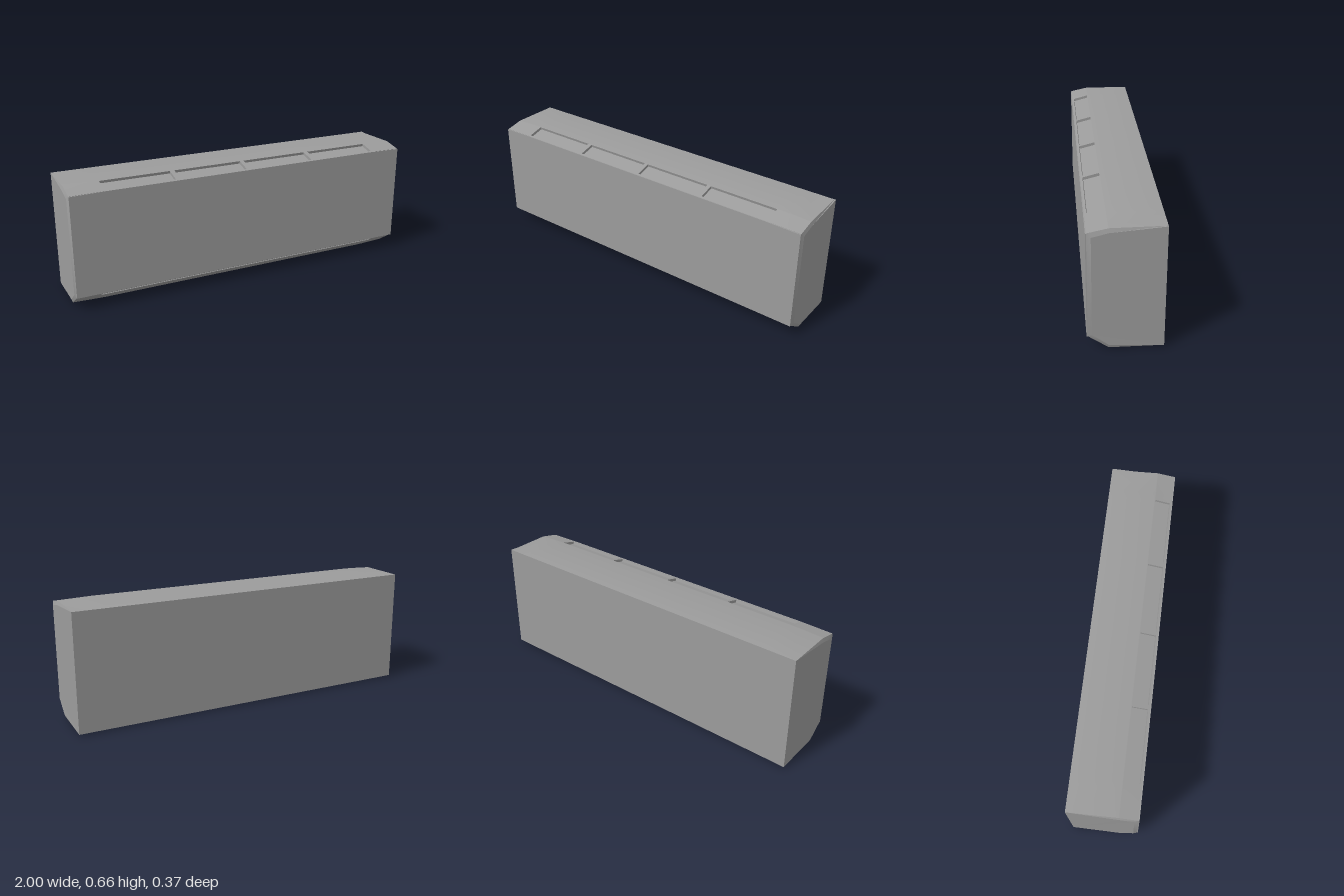
import * as THREE from 'three';
import { toCreasedNormals } from 'three/addons/utils/BufferGeometryUtils.js';

const material = () => new THREE.MeshStandardMaterial({ color: 0x9c9c9c });

// Point between a and b at t, pushed inward by depth along the normal n.
const along = (a, b, t, n, depth) => [
  a[0] + (b[0] - a[0]) * t - n[0] * depth,
  a[1] + (b[1] - a[1]) * t - n[1] * depth,
];

// Side profile as [z, y]; vent and outlet are recess depths, drop lowers the peaks.
function section(vent, outlet, drop) {
  const peak = [0.08, 0.66 - drop], frontTop = [0.18, 0.634 - drop * 0.35];
  const frontLow = [0.18, 0.079], belly = [0.08, 0.001 + drop];
  const nTop = [0.25, 0.97], nLow = [0.61, -0.79];
  return [
    [-0.185, 0.008], [-0.185, 0.652], peak,
    along(peak, frontTop, 0.05, nTop, 0), along(peak, frontTop, 0.05, nTop, vent),
    along(peak, frontTop, 0.9, nTop, vent), along(peak, frontTop, 0.9, nTop, 0),
    frontTop, frontLow,
    along(frontLow, belly, 0.05, nLow, 0), along(frontLow, belly, 0.05, nLow, outlet),
    along(frontLow, belly, 0.37, nLow, outlet), along(frontLow, belly, 0.37, nLow, 0),
    belly,
  ];
}

// End face: the profile with its front corners chamfered in.
function endSection() {
  const a = [0.08, 0.632], b = [0.16, 0.612], c = [0.16, 0.091], d = [0.08, 0.027];
  return [[-0.185, 0.008], [-0.185, 0.652], a, a, a, b, b, b, c, c, c, d, d, d];
}

// Corner i of a station; the ends narrow slightly towards the back.
function corner(station, i) {
  const [z, y] = station.pts[i % station.pts.length];
  return [station.x * (z < 0 ? 0.995 : 1), y, z];
}

function geometryFrom(pos) {
  const g = new THREE.BufferGeometry();
  g.setAttribute('position', new THREE.Float32BufferAttribute(pos, 3));
  g.computeVertexNormals();
  return g;
}

// Joins sections along x, smooth over the gentle bends and sharp at the recesses.
function loft(stations) {
  const pos = [];
  for (let k = 0; k < stations.length - 1; k++) {
    const a = stations[k], b = stations[k + 1];
    for (let i = 0; i < a.pts.length; i++) {
      const a0 = corner(a, i), a1 = corner(a, i + 1);
      const b0 = corner(b, i), b1 = corner(b, i + 1);
      pos.push(...a0, ...a1, ...b1, ...a0, ...b1, ...b0);
    }
  }
  return toCreasedNormals(geometryFrom(pos), 0.72);
}

// Flat face closing one end, facing outwards along x.
function endFace(station) {
  const pos = [];
  for (let i = 1; i < station.pts.length - 1; i++) {
    const [p, q] = station.x > 0 ? [i, i + 1] : [i + 1, i];
    pos.push(...corner(station, 0), ...corner(station, p), ...corner(station, q));
  }
  return geometryFrom(pos);
}

export function createModel() {
  const model = new THREE.Group();
  model.name = 'wallAirConditioner';
  const add = (name, geometry) => {
    const mesh = new THREE.Mesh(geometry, material());
    mesh.name = name;
    model.add(mesh);
    return mesh;
  };

  // Casing with four intake recesses on top and a long outlet below
  const vents = [[-0.81, -0.425], [-0.4, -0.012], [0.01, 0.398], [0.422, 0.81]];
  const outletEnd = 0.855, outletDepth = 0.004, ventDepth = 0.015;
  const stations = [
    { x: -1, pts: endSection() },
    { x: -0.993, pts: section(0, 0, 0.007) },
    { x: -outletEnd, pts: section(0, 0, 0.001) },
    { x: -outletEnd, pts: section(0, outletDepth, 0.001) },
  ];
  for (const [x0, x1] of vents) {
    for (const [x, depth] of [[x0, 0], [x0, ventDepth], [x1, ventDepth], [x1, 0]]) {
      stations.push({ x, pts: section(depth, outletDepth, 0) });
    }
  }
  stations.push(
    { x: outletEnd, pts: section(0, outletDepth, 0.001) },
    { x: outletEnd, pts: section(0, 0, 0.001) },
    { x: 0.993, pts: section(0, 0, 0.007) },
    { x: 1, pts: endSection() },
  );
  add('casing', loft(stations));
  add('rightEnd', endFace(stations[0]));
  add('leftEnd', endFace(stations[stations.length - 1]));

  // Thin front panel, its upper edge easing down at the ends
  const outline = new THREE.Shape([
    [-0.993, 0.078], [0.993, 0.078],
    [0.993, 0.63], [0.8, 0.634], [-0.8, 0.634], [-0.993, 0.63],
  ].map(([x, y]) => new THREE.Vector2(x, y)));
  const panel = add('frontPanel',
    new THREE.ExtrudeGeometry(outline, { depth: 0.006, bevelEnabled: false }));
  panel.position.z = 0.179;

  return model;
}
